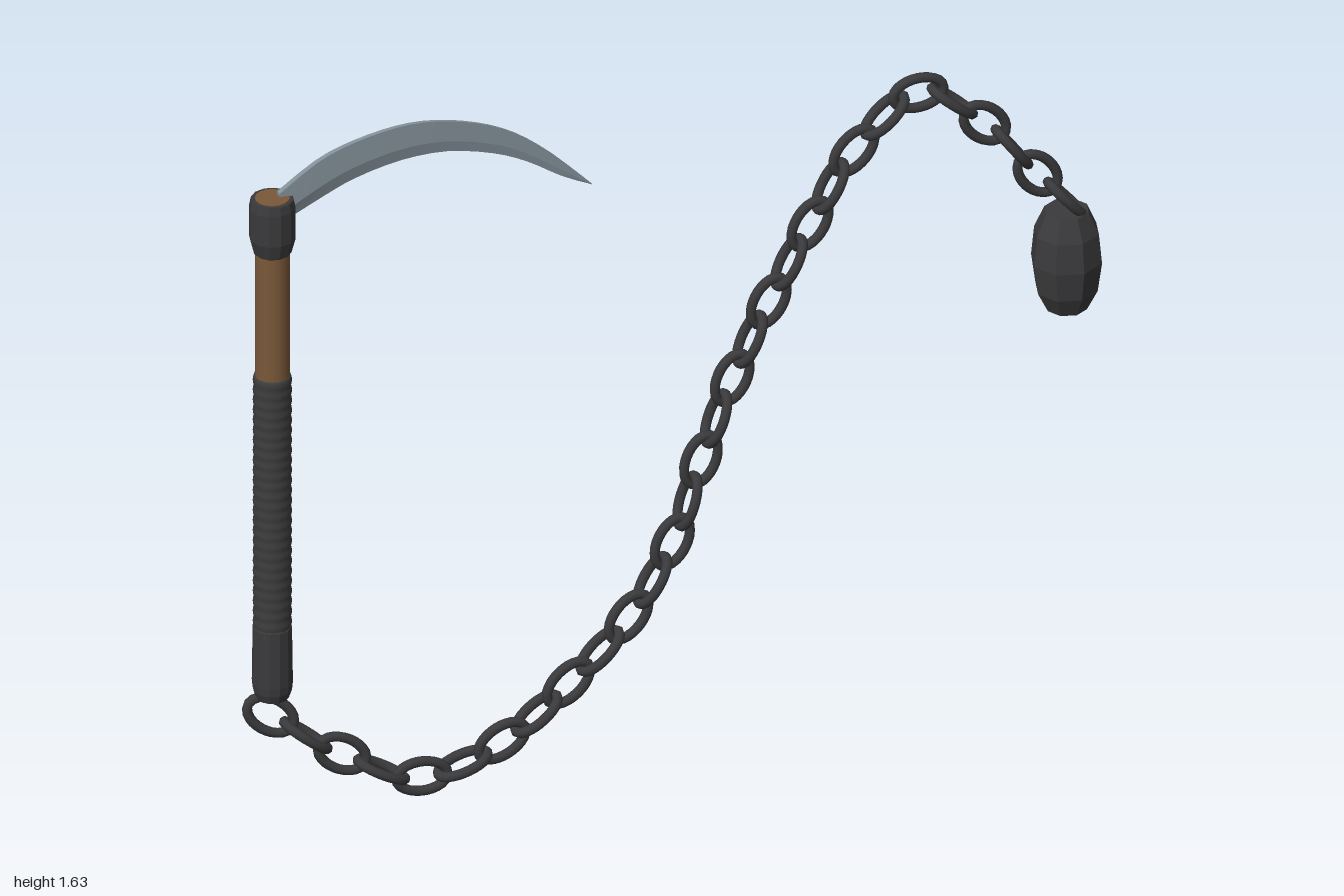
import * as THREE from 'three';

const mat = (name, color, extra = {}) => {
  const m = new THREE.MeshStandardMaterial({ color, ...extra });
  m.name = name;
  return m;
};
const V2 = (p) => new THREE.Vector2(p[0], p[1]);

// Curved blade: five-sided cross-sections running between a spine and a cutting edge
function bladeGeometry() {
  const spine = new THREE.SplineCurve([[-0.92, 1.53], [-0.82, 1.594], [-0.715, 1.626], [-0.607, 1.637],
    [-0.5, 1.62], [-0.393, 1.578], [-0.297, 1.508], [-0.19, 1.402]].map(V2));
  const edge = new THREE.SplineCurve([[-0.92, 1.45], [-0.82, 1.497], [-0.74, 1.529], [-0.634, 1.551],
    [-0.527, 1.551], [-0.42, 1.524], [-0.34, 1.487], [-0.26, 1.435], [-0.19, 1.4]].map(V2));
  const n = 24, pos = [], idx = [];
  for (let i = 0; i <= n; i++) {
    const t = i / n, s = spine.getPoint(t), e = edge.getPoint(t);
    const h = 0.009 * (1 - 0.85 * t);
    const m = s.clone().lerp(e, 0.65);
    pos.push(s.x, s.y, h * 0.8, m.x, m.y, h, e.x, e.y, 0, m.x, m.y, -h, s.x, s.y, -h * 0.8);
  }
  for (let i = 0; i < n; i++) for (let k = 0; k < 5; k++) {
    const a = i * 5 + k, b = i * 5 + (k + 1) % 5;
    idx.push(a, b, a + 5, b, b + 5, a + 5);
  }
  for (let k = 1; k < 4; k++) {
    idx.push(0, k + 1, k, n * 5, n * 5 + k, n * 5 + k + 1);
  }
  const g = new THREE.BufferGeometry();
  g.setAttribute('position', new THREE.Float32BufferAttribute(pos, 3));
  g.setIndex(idx);
  g.computeVertexNormals();
  return g;
}

// One oval link lying in its local xy plane, long side on x
function linkGeometry() {
  const pts = [];
  for (let i = 0; i < 12; i++) {
    const a = (i / 12) * Math.PI * 2;
    pts.push(new THREE.Vector3(Math.cos(a) * 0.059, Math.sin(a) * 0.036, 0));
  }
  return new THREE.TubeGeometry(new THREE.CatmullRomCurve3(pts, true), 24, 0.0115, 8, true);
}

export function createModel() {
  const root = new THREE.Group();
  root.name = 'chainSickle';
  const iron = mat('dark iron', 0x3a3a3c);
  const ironFlat = mat('dark iron faceted', 0x3a3a3c, { flatShading: true });
  const wrapMat = mat('grip wrap', 0x3d3d3d);
  const wood = mat('wood', 0x7a5939);
  const steel = mat('blade steel', 0x84919a, { flatShading: true });

  const add = (parent, name, geo, material, x = 0, y = 0, z = 0) => {
    const m = new THREE.Mesh(geo, material);
    m.name = name;
    m.position.set(x, y, z);
    parent.add(m);
    return m;
  };
  const HX = -0.935, HZ = -0.014;

  // Handle: wooden shaft, corded grip, end cap and head collar
  const handle = new THREE.Group();
  handle.name = 'handle';
  handle.position.set(HX, 0, HZ);
  root.add(handle);
  add(handle, 'shaft', new THREE.CylinderGeometry(0.038, 0.038, 1.18, 16), wood, 0, 0.932, 0);

  const grip = [];
  const turns = 26, y0 = 0.44, y1 = 1.085;
  for (let i = 0; i <= turns * 4; i++) {
    const r = 0.0405 + 0.002 * Math.abs(Math.sin((i / 4) * Math.PI));
    grip.push(new THREE.Vector2(r, y0 + (y1 - y0) * i / (turns * 4)));
  }
  grip.push(new THREE.Vector2(0.037, y1));
  add(handle, 'gripWrap', new THREE.LatheGeometry(grip, 16), wrapMat);

  const cap = [[0, 0.29], [0.036, 0.29], [0.043, 0.31], [0.045, 0.33], [0.043, 0.465], [0.038, 0.47]];
  add(handle, 'endCap', new THREE.LatheGeometry(cap.map(V2), 12), ironFlat);
  const collar = [[0.036, 1.385], [0.042, 1.39], [0.051, 1.425], [0.051, 1.5], [0.047, 1.52], [0.036, 1.52]];
  add(handle, 'headCollar', new THREE.LatheGeometry(collar.map(V2), 12), ironFlat);

  add(root, 'blade', bladeGeometry(), steel, 0, 0, -0.016);

  // Chain: links follow a hanging path, every second one turned a quarter
  const path = [[-0.94, 0.246, -0.012], [-0.785, 0.134, 0.017], [-0.607, 0.052, 0.037], [-0.42, 0.1, 0.036],
    [-0.26, 0.203, 0.022], [-0.115, 0.33, 0.01], [-0.01, 0.49, 0.002], [0.06, 0.674, -0.006],
    [0.136, 0.856, -0.014], [0.222, 1.027, -0.016], [0.318, 1.198, -0.016], [0.42, 1.358, -0.016],
    [0.57, 1.47, -0.016], [0.725, 1.364, -0.016], [0.848, 1.214, -0.016], [0.98, 1.065, -0.016]];
  const curve = new THREE.CatmullRomCurve3(path.map((p) => new THREE.Vector3(...p)));
  const chain = new THREE.Group();
  chain.name = 'chain';
  root.add(chain);
  const linkGeo = linkGeometry();
  const count = (path.length - 1) * 2;
  for (let i = 0; i < count; i++) {
    const t = i / count;
    const p = curve.getPoint(t), along = curve.getTangent(t).normalize();
    const up = new THREE.Vector3(0, 0, 1).cross(along).normalize();
    const side = along.clone().cross(up);
    const basis = new THREE.Matrix4();
    if (i % 2) basis.makeBasis(along, side, up.clone().negate());
    else basis.makeBasis(along, up, side);
    const link = add(chain, 'link', linkGeo, iron, p.x, p.y, p.z);
    link.quaternion.setFromRotationMatrix(basis);
  }

  // Eight-sided weight on the chain's end
  const weight = [[0, 0.872], [0.046, 0.872], [0.07, 0.92], [0.08, 0.99], [0.073, 1.06], [0.05, 1.112], [0, 1.112]];
  const w = add(root, 'weight', new THREE.LatheGeometry(weight.map(V2), 8), ironFlat, 0.915, 0, -0.015);
  w.rotation.y = 0.12;

  return root;
}
